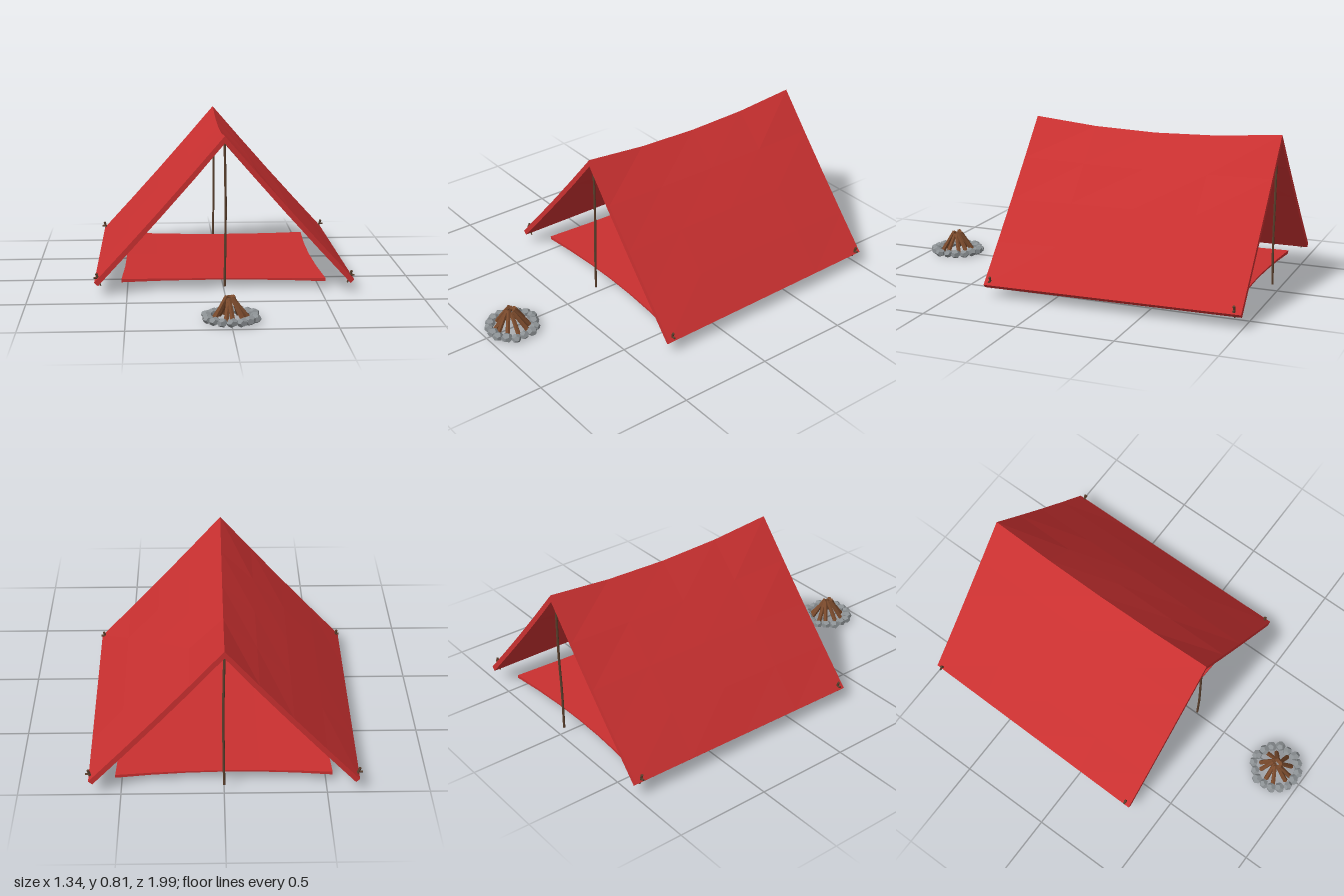
import * as THREE from 'three';

const mat = (name, color) => Object.assign(new THREE.MeshStandardMaterial({ color, flatShading: true }), { name });

// small seeded random generator
function seeded(seed) {
  return () => {
    seed = (seed * 16807) % 2147483647;
    return seed / 2147483647;
  };
}

// closed sheet with a top and a bottom layer; point(u, v, layer) with u and v from 0 to 1
function sheet(nu, nv, point) {
  const pos = [], index = [];
  for (let l = 0; l < 2; l++)
    for (let j = 0; j <= nv; j++)
      for (let i = 0; i <= nu; i++) pos.push(...point(i / nu, j / nv, l));
  const at = (i, j, l) => l * (nu + 1) * (nv + 1) + j * (nu + 1) + i;
  const quad = (a, b, c, d) => index.push(a, b, c, a, c, d);
  for (let j = 0; j < nv; j++)
    for (let i = 0; i < nu; i++) {
      quad(at(i, j, 0), at(i, j + 1, 0), at(i + 1, j + 1, 0), at(i + 1, j, 0));
      quad(at(i, j, 1), at(i + 1, j, 1), at(i + 1, j + 1, 1), at(i, j + 1, 1));
    }
  for (let i = 0; i < nu; i++) {
    quad(at(i, nv, 1), at(i + 1, nv, 1), at(i + 1, nv, 0), at(i, nv, 0));
    quad(at(i + 1, 0, 1), at(i, 0, 1), at(i, 0, 0), at(i + 1, 0, 0));
  }
  for (let j = 0; j < nv; j++) {
    quad(at(nu, j + 1, 1), at(nu, j, 1), at(nu, j, 0), at(nu, j + 1, 0));
    quad(at(0, j, 1), at(0, j + 1, 1), at(0, j + 1, 0), at(0, j, 0));
  }
  const g = new THREE.BufferGeometry();
  g.setAttribute('position', new THREE.Float32BufferAttribute(pos, 3));
  g.setIndex(index);
  const flat = g.toNonIndexed();
  flat.computeVertexNormals();
  return flat;
}

// straight stick between two points
function stick(name, a, b, r0, r1, sides, material) {
  const from = new THREE.Vector3(...a), to = new THREE.Vector3(...b);
  const dir = to.clone().sub(from);
  const m = new THREE.Mesh(new THREE.CylinderGeometry(r1, r0, dir.length(), sides), material);
  m.position.copy(from).add(to).multiplyScalar(0.5);
  m.quaternion.setFromUnitVectors(new THREE.Vector3(0, 1, 0), dir.normalize());
  m.name = name;
  return m;
}

export function createModel() {
  const model = new THREE.Group();
  model.name = 'tentCamp';
  const red = mat('red canvas', 0xc93030);
  const poleWood = mat('dark wood', 0x5a3f2c);
  const logWood = mat('log brown', 0x7a4a2c);
  const stoneGrey = mat('stone grey', 0x8c9194);
  const add = (name, geometry, material, parent = model) => {
    const m = new THREE.Mesh(geometry, material);
    m.name = name;
    parent.add(m);
    return m;
  };

  // roof: folded canvas, ridge sags between the poles
  add('roof', sheet(8, 4, (u, v, layer) => {
    const s = u * 2 - 1, a = Math.abs(s), sign = Math.sign(s);
    const sag = 1 - (2 * v - 1) ** 2;
    let x = s * (0.655 + 0.012 * v);
    let y = 0.815 + (0.079 - 0.012 * v - 0.815) * a;
    y += -0.04 * sag * (1 - a) + (0.03 * sag - 0.008) * Math.sin(Math.PI * a);
    if (layer) {
      x -= sign * 0.019;
      y -= a < 0.01 ? 0.037 : 0.018;
    }
    return [x, y, -1 + 1.34 * v];
  }), red);

  // groundsheet, with gently drawn-in edges
  add('groundsheet', sheet(6, 4, (u, v, layer) => {
    const s = u * 2 - 1, t = v * 2 - 1;
    const x = s * (0.53 - 0.02 * (1 - t * t));
    const z = -0.335 + t * (0.585 - 0.03 * (1 - s * s));
    const thick = 0.008 + 0.009 * s * s;
    return [x, 0.05 - 0.004 * s + (layer ? -thick / 2 : thick / 2), z];
  }), red);

  // ridge poles, slightly crooked
  for (const [name, z] of [['frontPole', 0.315], ['backPole', -0.975]]) {
    const path = new THREE.CatmullRomCurve3([
      [0, 0.035, z], [0.003, 0.25, z + 0.003], [0.005, 0.45, z], [0, 0.785, z],
    ].map((p) => new THREE.Vector3(...p)));
    add(name, new THREE.TubeGeometry(path, 8, 0.006, 6), poleWood);
    for (const y of [0.035, 0.785]) {
      const cap = add(name + 'End', new THREE.CylinderGeometry(0.006, 0.006, 0.002, 6), poleWood);
      cap.position.set(0, y, z);
    }
  }

  // corner pegs: a tilted stake with a short hook
  for (const side of [-1, 1])
    for (const [z, lift] of [[0.31, 0], [-0.965, 0.012]]) {
      const peg = new THREE.Group();
      peg.name = 'cornerPeg';
      peg.add(stick('stake', [side * 0.635, 0.045 + lift, z], [side * 0.657, 0.108 + lift, z], 0.004, 0.007, 6, poleWood));
      peg.add(stick('hook', [side * 0.648, 0.085 + lift, z], [side * 0.67, 0.085 + lift, z], 0.006, 0.005, 6, poleWood));
      model.add(peg);
    }

  // campfire
  const fire = new THREE.Group();
  fire.name = 'campfire';
  fire.position.set(0, 0, 0.845);
  model.add(fire);
  const rand = seeded(77);

  // ring of stones
  const stones = 16;
  for (let i = 0; i < stones; i++) {
    const a = (i / stones) * Math.PI * 2;
    const r = 0.12 + (rand() - 0.5) * 0.012;
    const stone = add('stone', new THREE.DodecahedronGeometry(1, 0), stoneGrey, fire);
    stone.scale.set(0.025 + rand() * 0.006, 0.021 + rand() * 0.004, 0.024 + rand() * 0.006);
    stone.rotation.y = rand() * 6;
    stone.position.set(Math.cos(a) * r, stone.scale.y * 0.94, Math.sin(a) * r);
  }

  // logs leaning together
  const logs = 10;
  for (let i = 0; i < logs; i++) {
    const a = ((i + rand() * 0.4) / logs) * Math.PI * 2;
    const base = 0.08 + rand() * 0.015, top = 0.012 + rand() * 0.01;
    fire.add(stick('log',
      [Math.cos(a) * base, 0.012, Math.sin(a) * base],
      [Math.cos(a + 0.5) * top, 0.105 + rand() * 0.015, Math.sin(a + 0.5) * top],
      0.013, 0.011, 6, logWood));
  }
  return model;
}
